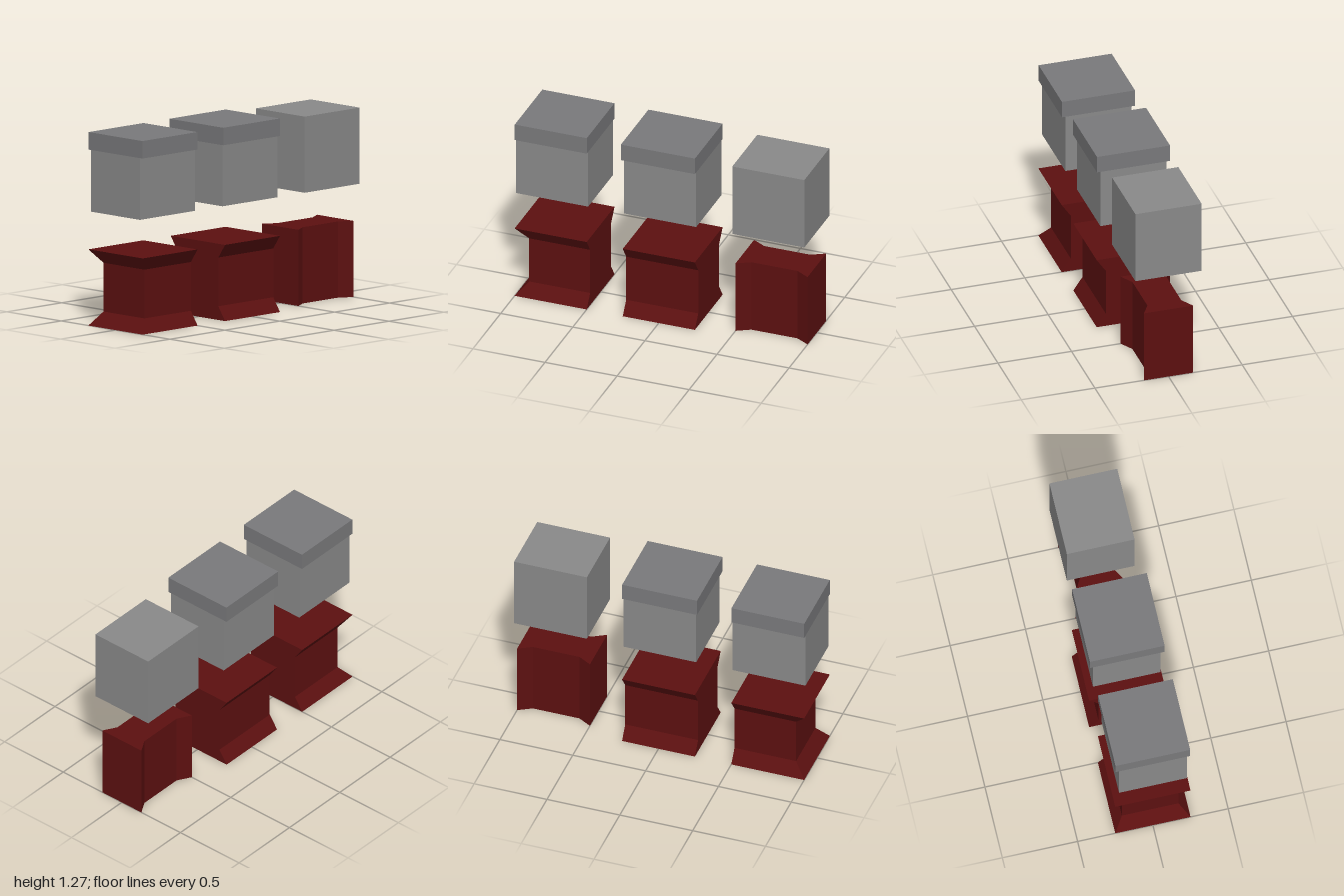
import * as THREE from 'three';

const grey = new THREE.MeshStandardMaterial({ color: 0x898989, flatShading: true });
const capGrey = new THREE.MeshStandardMaterial({ color: 0x79797b, flatShading: true });
const red = new THREE.MeshStandardMaterial({ color: 0x5c1010, flatShading: true });

// Box given by its limits on each axis
function box(name, [x0, x1], [y0, y1], [z0, z1], material) {
  const mesh = new THREE.Mesh(new THREE.BoxGeometry(x1 - x0, y1 - y0, z1 - z0), material);
  mesh.position.set((x0 + x1) / 2, (y0 + y1) / 2, (z0 + z1) / 2);
  mesh.name = name;
  return mesh;
}

// Closed solid through rectangular sections [y, x0, x1, halfDepth], bottom to top
function flaredBlock(name, sections) {
  const points = [], index = [];
  for (const [y, x0, x1, d] of sections) {
    points.push(x0, y, d, x1, y, d, x1, y, -d, x0, y, -d);
  }
  for (let s = 0; s < sections.length - 1; s++) {
    for (let i = 0; i < 4; i++) {
      const a = s * 4 + i, b = s * 4 + (i + 1) % 4;
      index.push(a, b, b + 4, a, b + 4, a + 4);
    }
  }
  const t = (sections.length - 1) * 4;
  index.push(0, 2, 1, 0, 3, 2, t, t + 1, t + 2, t, t + 2, t + 3);
  const indexed = new THREE.BufferGeometry();
  indexed.setAttribute('position', new THREE.Float32BufferAttribute(points, 3));
  indexed.setIndex(index);
  const geometry = indexed.toNonIndexed();
  geometry.computeVertexNormals();
  const mesh = new THREE.Mesh(geometry, red);
  mesh.name = name;
  return mesh;
}

export function createModel() {
  const group = new THREE.Group();
  group.name = 'wallBlockSet';

  // Upper row: three plain blocks, two with a cap overhanging front and back
  const bodyZ = [-0.225, 0.225];
  const cappedY = [0.75, 1.155], capY = [1.155, 1.27], capZ = [-0.248, 0.248];
  group.add(
    box('cornerBlock', [-1, -0.5], cappedY, bodyZ, grey),
    box('middleBlock', [-0.25, 0.25], cappedY, bodyZ, grey),
    box('plainBlock', [0.5, 1], [0.75, 1.25], bodyZ, grey),
    box('cornerCap', [-1, -0.5], capY, capZ, capGrey),
    box('middleCap', [-0.264, 0.25], capY, capZ, capGrey)
  );

  // Lower row: blocks flared at foot and head; the end block flares on its outer side too
  const levels = [[0, 0], [0.09, 1], [0.41, 1], [0.5, 0]];
  const flared = (x0, x1, inset) =>
    levels.map(([y, k]) => [y, x0 + k * inset, x1, 0.25 - 0.062 * k]);
  group.add(
    flaredBlock('flaredEndBlock', flared(-1, -0.5, 0.077)),
    flaredBlock('flaredMiddleBlock', flared(-0.25, 0.25, 0))
  );

  // Upright block with recessed front and back, extruded from its plan
  const plan = new THREE.Shape([
    [0.5, -0.167], [0.59, -0.115], [0.91, -0.115], [1, -0.167],
    [1, 0.167], [0.91, 0.115], [0.59, 0.115], [0.5, 0.167]
  ].map(([x, z]) => new THREE.Vector2(x, z)));
  const geometry = new THREE.ExtrudeGeometry(plan, { depth: 0.5, bevelEnabled: false });
  geometry.rotateX(-Math.PI / 2);
  const upright = new THREE.Mesh(geometry, red);
  upright.name = 'recessedBlock';
  group.add(upright);

  return group;
}
